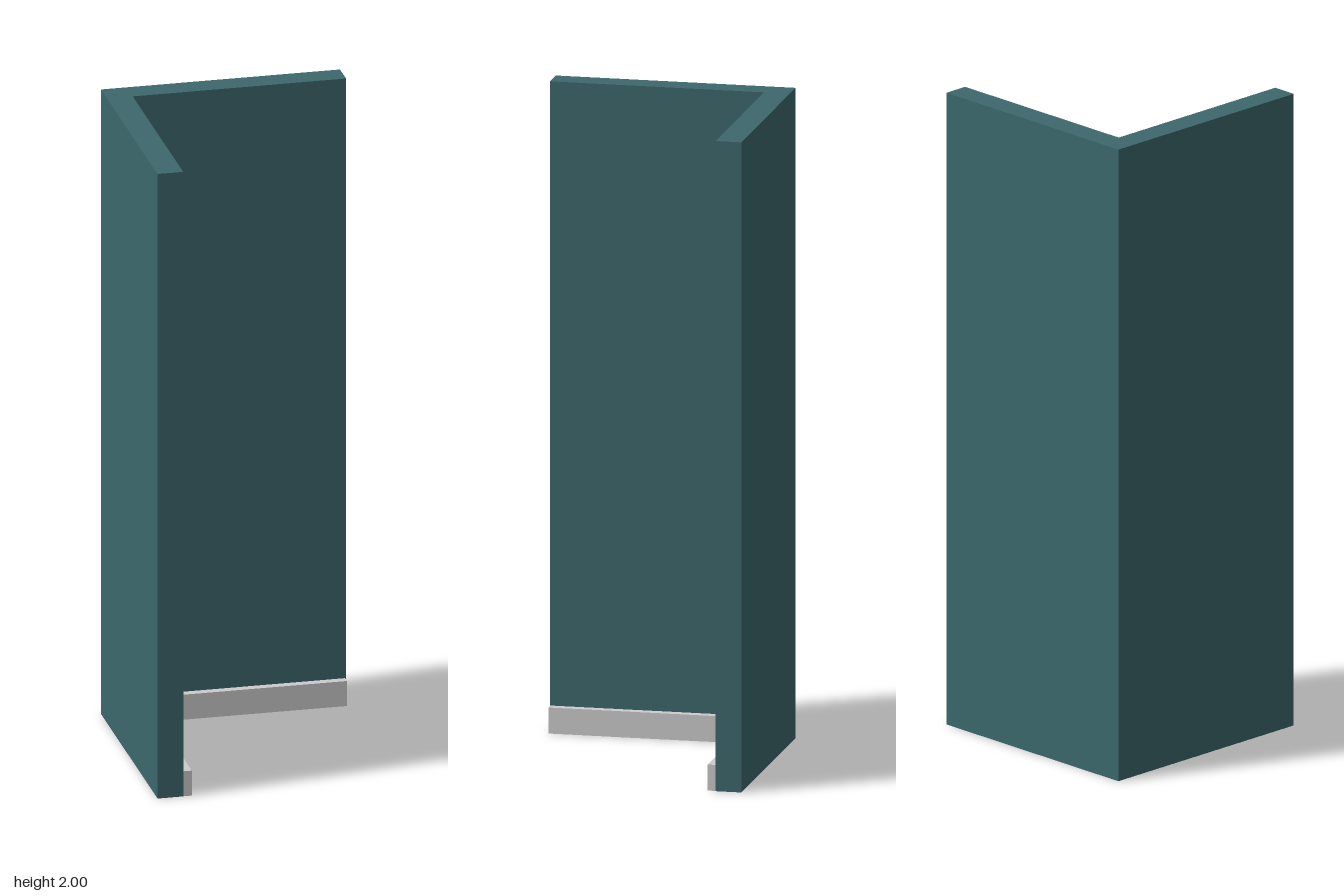
import * as THREE from 'three';

const HALF = 0.368;   // half of the footprint
const INNER = -0.289; // inner face of both walls

export function createModel() {
  const group = new THREE.Group();
  const wallMaterial = new THREE.MeshStandardMaterial({ color: 0x3c686d });
  const skirtingMaterial = new THREE.MeshStandardMaterial({ color: 0xcccccc });

  // L-shaped plan extruded upwards; plan y becomes -z
  function corner(name, outer, innerX, innerZ, endX, endZ, height, material) {
    const plan = new THREE.Shape([
      [outer, -outer], [outer, -endZ], [innerX, -endZ],
      [innerX, -innerZ], [endX, -innerZ], [endX, -outer],
    ].map(([x, y]) => new THREE.Vector2(x, y)));
    const geometry = new THREE.ExtrudeGeometry(plan, { depth: height, bevelEnabled: false });
    geometry.rotateX(-Math.PI / 2);
    const mesh = new THREE.Mesh(geometry, material);
    mesh.name = name;
    group.add(mesh);
  }

  // Two walls meeting at the back corner
  corner('cornerWalls', -HALF, INNER, INNER, HALF, HALF, 2, wallMaterial);
  // Skirting along the inner foot of both walls
  corner('skirtingBoard', INNER, -0.262, -0.264, 0.365, 0.367, 0.08, skirtingMaterial);

  return group;
}
